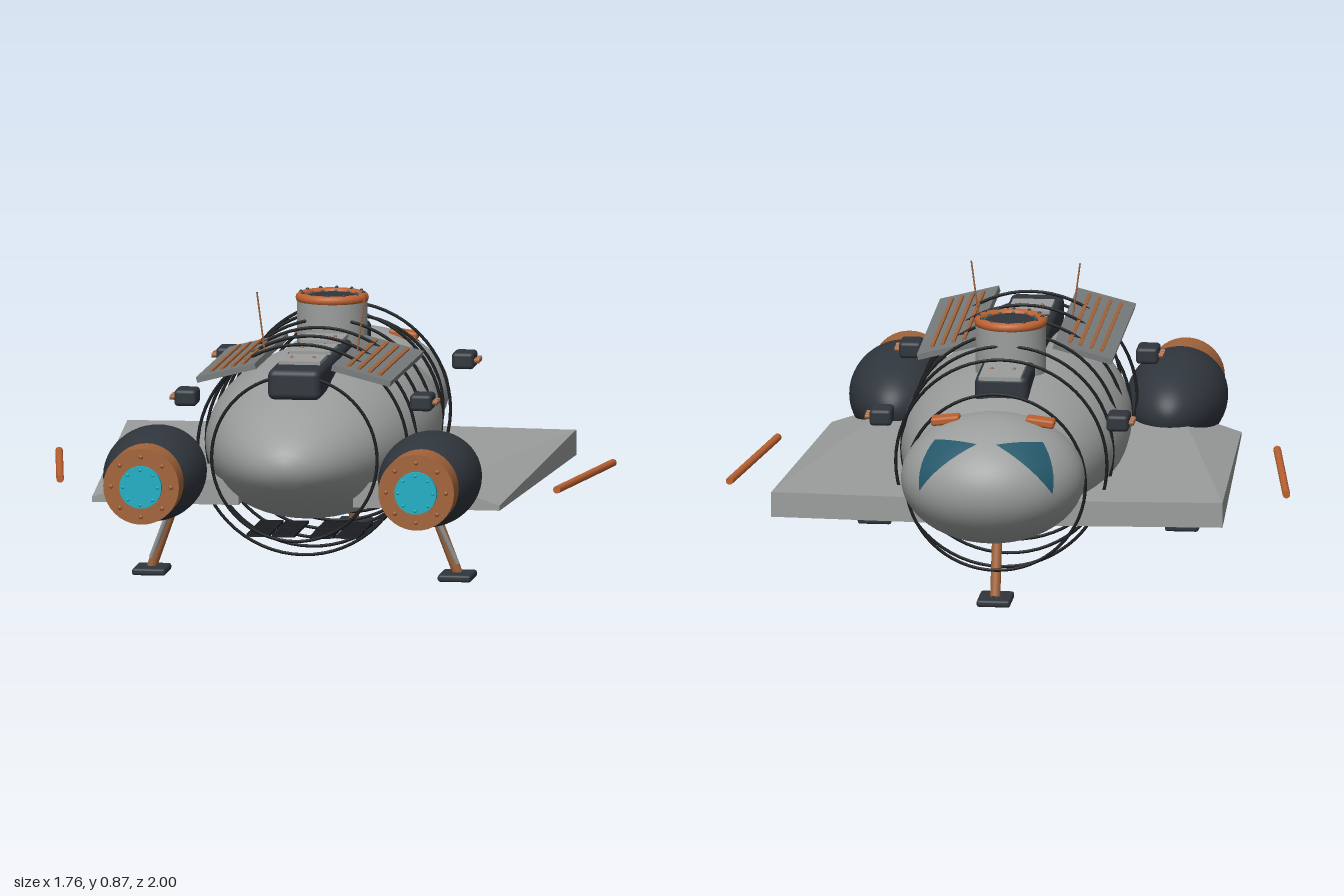
import * as THREE from 'three';
import { RoundedBoxGeometry } from 'three/addons/geometries/RoundedBoxGeometry.js';
import { ConvexGeometry } from 'three/addons/geometries/ConvexGeometry.js';

const mat = (name, color, side = THREE.FrontSide) => {
  const m = new THREE.MeshStandardMaterial({ color, side });
  m.name = name;
  return m;
};

export function createModel() {
  const hullGrey = mat('hullGrey', 0x9b9e9d);
  const panelGrey = mat('panelGrey', 0x777b7c);
  const dark = mat('darkSlate', 0x30363d);
  const black = mat('black', 0x1a1c1f);
  const orange = mat('orange', 0xbd6231);
  const copper = mat('copper', 0xa2643a);
  const cyan = mat('cyanGlow', 0x20b0c6);
  const glass = mat('tealGlass', 0x24586a, THREE.DoubleSide);

  const root = new THREE.Group();
  const V = (x, y, z) => new THREE.Vector3(x, y, z);

  const add = (name, geo, material, x = 0, y = 0, z = 0) => {
    const m = new THREE.Mesh(geo, material);
    m.name = name;
    m.position.set(x, y, z);
    root.add(m);
    return m;
  };
  const box = (name, material, w, h, d, x, y, z) =>
    add(name, new THREE.BoxGeometry(w, h, d), material, x, y, z);
  const rounded = (name, material, w, h, d, x, y, z, r = 0.012) =>
    add(name, new RoundedBoxGeometry(w, h, d, 2, r), material, x, y, z);
  const ellipsoid = (name, material, rx, ry, rz, x, y, z) =>
    add(name, new THREE.SphereGeometry(1, 48, 32).rotateX(Math.PI / 2).scale(rx, ry, rz), material, x, y, z);
  // Round bar between two points
  const rod = (name, material, a, b, r, sides = 12) => {
    const m = add(name, new THREE.CylinderGeometry(r, r, a.distanceTo(b), sides), material);
    m.position.copy(a).lerp(b, 0.5);
    m.quaternion.setFromUnitVectors(V(0, 1, 0), b.clone().sub(a).normalize());
    return m;
  };
  // Circle of small round bolts, lying flat or facing +z
  const bolts = (name, material, count, radius, size, x, y, z, flat) => {
    for (let i = 0; i < count; i++) {
      const a = (i / count) * Math.PI * 2;
      const u = Math.cos(a) * radius, v = Math.sin(a) * radius;
      add(name, new THREE.SphereGeometry(size, 8, 6), material, x + u, flat ? y : y + v, flat ? z + v : z);
    }
  };

  // Hull and nose
  ellipsoid('hull', hullGrey, 0.35, 0.25, 0.875, 0, 0.4, 0);
  ellipsoid('nose', hullGrey, 0.286, 0.2, 0.29, 0, 0.419, -0.71);

  // Hoops around the hull: z, radius, centre height
  const hoops = [[0.635, 0.26, 0.4], [-0.63, 0.281, 0.383]];
  for (let i = 0; i < 6; i++) hoops.push([0.455 - i * 0.182, 0.33, 0.402]);
  for (const [z, r, y] of hoops)
    add('hullHoop', new THREE.TorusGeometry(r, 0.005, 8, 64), black, 0, y, z);

  // Spine with access plates
  rounded('spine', dark, 0.166, 0.095, 0.37, 0, 0.632, -0.275, 0.02);
  rounded('spine', dark, 0.166, 0.095, 0.7, 0, 0.632, 0.3, 0.02);
  for (const [z, d] of [[-0.4, 0.22], [0.0, 0.16], [0.23, 0.16], [0.45, 0.16]]) {
    box('spinePlate', hullGrey, 0.13, 0.012, d, 0, 0.684, z);
    for (const s of [-1, 1])
      add('plateBolt', new THREE.SphereGeometry(0.006, 8, 6), copper, s * 0.035, 0.69, z);
  }

  // Top hatch
  const hz = -0.172;
  add('hatchTower', new THREE.CylinderGeometry(0.11, 0.11, 0.18, 40), hullGrey, 0, 0.695, hz);
  add('hatchRing', new THREE.TorusGeometry(0.098, 0.016, 12, 48).rotateX(Math.PI / 2), orange, 0, 0.789, hz);
  add('hatchGlow', new THREE.CylinderGeometry(0.086, 0.086, 0.01, 40), glass, 0, 0.786, hz);
  add('hatchLid', new THREE.CylinderGeometry(0.073, 0.073, 0.012, 40), dark, 0, 0.79, hz);
  bolts('hatchBolt', glass, 12, 0.08, 0.006, 0, 0.794, hz, true);
  bolts('hatchRingBolt', dark, 12, 0.098, 0.006, 0, 0.804, hz, true);

  // Underside tiles
  for (const x of [-0.14, -0.06, 0.06, 0.14])
    for (const z of [0.19, 0.265, 0.355, 0.43])
      box('bellyTile', black, 0.072, 0.008, 0.068, x, 0.13, z);

  for (const s of [-1, 1]) {
    // Wing: flat top falling away to the rear tip
    const lo = 0.246, hi = 0.325;
    add('wing', new ConvexGeometry([
      V(s * 0.16, lo, -0.62), V(s * 0.705, lo, -0.59), V(s * 0.64, lo, 0.605), V(s * 0.18, lo, 0.605),
      V(s * 0.16, hi, -0.62), V(s * 0.705, hi, -0.59), V(s * 0.45, hi, 0.605), V(s * 0.18, hi, 0.605),
      V(s * 0.64, 0.262, 0.605),
    ]), hullGrey);

    // Outrigger bar
    rod('outriggerBar', orange, V(s * 0.87, 0.275, -0.255), V(s * 0.78, 0.275, 0.335), 0.012);

    // Engine
    const ex = s * 0.432, ey = 0.352;
    ellipsoid('enginePod', dark, 0.157, 0.146, 0.3, ex, ey, 0.673);
    add('engineNozzle', new THREE.CylinderGeometry(0.119, 0.119, 0.125, 40).rotateX(Math.PI / 2), copper, ex, ey, 0.908);
    add('engineGlow', new THREE.CylinderGeometry(0.066, 0.066, 0.02, 32).rotateX(Math.PI / 2), cyan, ex, ey, 0.978);
    bolts('nozzleBolt', copper, 8, 0.094, 0.007, ex, ey, 0.974, false);
    bolts('glowBolt', cyan, 8, 0.055, 0.005, ex, ey, 0.99, false);

    // Tilted roof panel with stripes
    const panel = new THREE.Group();
    panel.name = 'roofPanel';
    panel.position.set(s * 0.212, 0.663, 0.303);
    panel.rotation.set(-0.012, 0, -s * 0.25);
    const slab = new THREE.Mesh(new THREE.BoxGeometry(0.19, 0.018, 0.705), panelGrey);
    slab.name = 'panelSlab';
    panel.add(slab);
    for (const x of [-0.052, -0.018, 0.017, 0.05]) {
      const stripe = new THREE.Mesh(new THREE.BoxGeometry(0.011, 0.008, 0.6), copper);
      stripe.name = 'panelStripe';
      stripe.position.set(x, 0.011, 0);
      panel.add(stripe);
    }
    root.add(panel);

    // Antenna
    rod('antenna', copper, V(s * 0.145, 0.68, 0.28), V(s * 0.17, 0.868, 0.28), 0.0028, 6);

    // Thruster blocks
    for (const z of [-0.485, 0.408]) {
      rounded('thrusterBlock', dark, 0.07, 0.052, 0.094, s * 0.37, 0.555, z);
      for (const dz of [-0.028, 0, 0.028])
        add('thrusterNozzle', new THREE.CylinderGeometry(0.008, 0.008, 0.022, 10).rotateZ(Math.PI / 2),
          copper, s * 0.409, 0.555, z + dz);
    }

    // Nose lamp
    rounded('noseLamp', orange, 0.09, 0.026, 0.056, s * 0.148, 0.598, -0.7, 0.008).rotation.z = -s * 0.12;

    // Cockpit window: triangle laid on the nose surface
    const c = V(0, 0.419, -0.71), n = 8, pts = [], idx = [];
    const A = V(s * 0.175, 0.57, -0.835), B = V(s * 0.03, 0.57, -0.905), C = V(s * 0.21, 0.42, -0.922);
    const at = (i, j) => i * (n + 1) - (i * (i - 1)) / 2 + j;
    for (let i = 0; i <= n; i++)
      for (let j = 0; j <= n - i; j++) {
        const p = A.clone().multiplyScalar((n - i - j) / n).addScaledVector(B, i / n).addScaledVector(C, j / n).sub(c);
        const k = 1.025 / Math.hypot(p.x / 0.286, p.y / 0.2, p.z / 0.29);
        p.multiplyScalar(k).add(c);
        pts.push(p.x, p.y, p.z);
        if (i + j < n) idx.push(at(i, j), ...(s > 0 ? [at(i, j + 1), at(i + 1, j)] : [at(i + 1, j), at(i, j + 1)]));
        if (i + j < n - 1)
          idx.push(at(i + 1, j), ...(s > 0 ? [at(i, j + 1), at(i + 1, j + 1)] : [at(i + 1, j + 1), at(i, j + 1)]));
      }
    const win = new THREE.BufferGeometry();
    win.setAttribute('position', new THREE.Float32BufferAttribute(pts, 3));
    win.setIndex(idx);
    win.computeVertexNormals();
    add('cockpitWindow', win, glass);
  }

  // Landing legs: top, ankle, upper end of the brace
  const legs = [[V(0, 0.24, -0.565), V(0, 0.02, -0.64), V(0, 0.24, -0.49)]];
  for (const s of [-1, 1])
    legs.push([V(s * 0.4, 0.24, 0.435), V(s * 0.48, 0.02, 0.412), V(s * 0.4, 0.25, 0.475)]);
  for (const [top, ankle, brace] of legs) {
    rod('legStrut', copper, top, ankle, 0.016);
    rod('legBrace', hullGrey, brace, V(ankle.x, 0.05, ankle.z + 0.01), 0.008);
    rounded('foot', dark, 0.105, 0.022, 0.14, ankle.x, 0.011, ankle.z + 0.006, 0.008);
  }
  return root;
}
